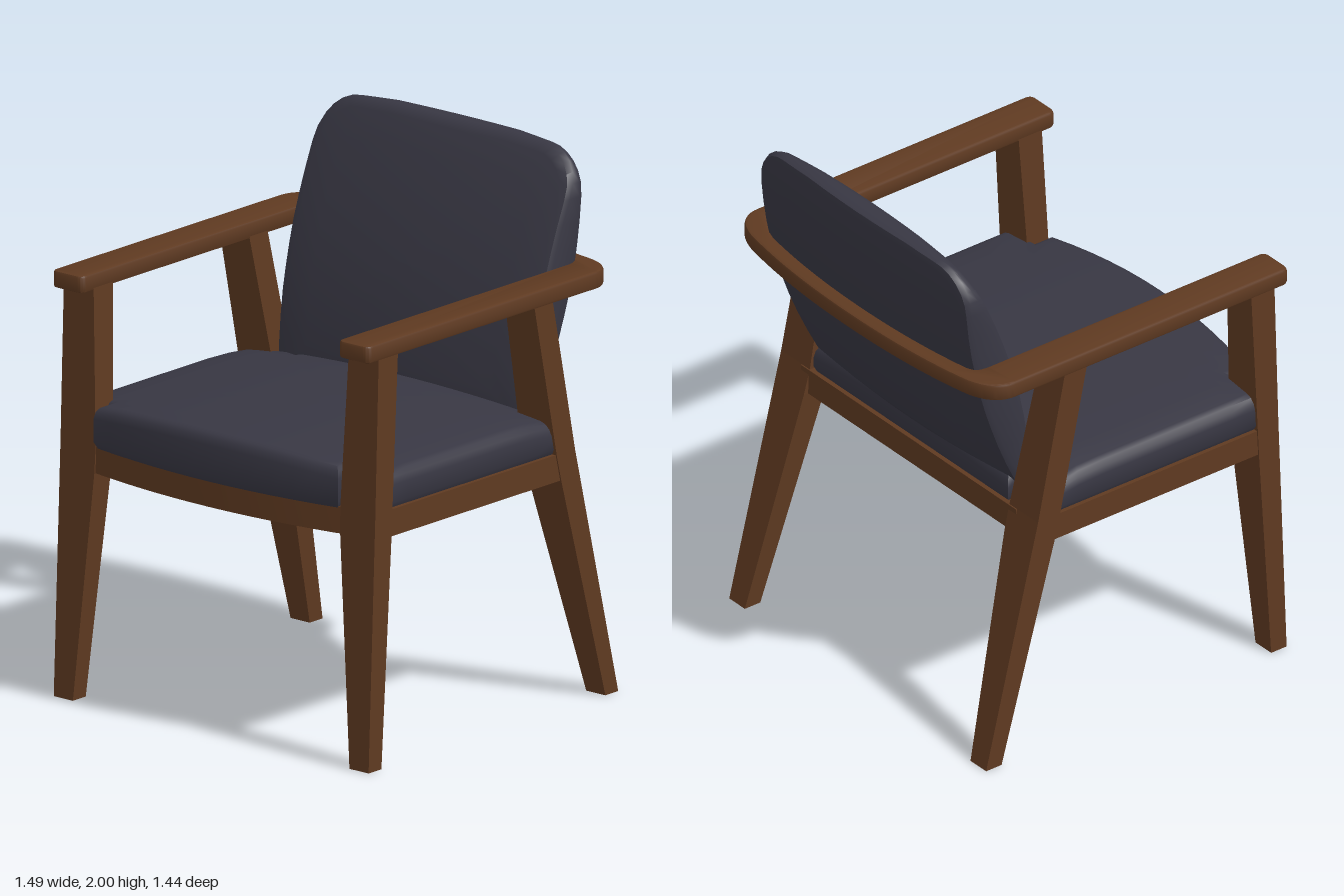
import * as THREE from 'three';
import { toCreasedNormals } from 'three/addons/utils/BufferGeometryUtils.js';

const wood = new THREE.MeshStandardMaterial({ color: 0x5f3a21 });
wood.name = 'walnut wood';
const fabric = new THREE.MeshStandardMaterial({ color: 0x383743 });
fabric.name = 'charcoal fabric';
const lining = new THREE.MeshStandardMaterial({ color: 0x1a1a1a });
lining.name = 'black lining';

// Skin a stack of equal-sized rings and close both ends.
function loft(rings, crease) {
  const n = rings[0].length, pos = rings.flat(2), idx = [];
  for (let i = 0; i < rings.length - 1; i++) {
    for (let j = 0; j < n; j++) {
      const a = i * n + j, b = i * n + (j + 1) % n;
      idx.push(a, b, b + n, a, b + n, a + n);
    }
  }
  const last = (rings.length - 1) * n;
  for (let j = 1; j < n - 1; j++) idx.push(0, j + 1, j, last, last + j, last + j + 1);
  const g = new THREE.BufferGeometry();
  g.setAttribute('position', new THREE.Float32BufferAttribute(pos, 3));
  g.setIndex(idx);
  return toCreasedNormals(g, crease);
}

// Subdivide a half outline that starts and ends on x = 0, then mirror it.
function fullOutline(half) {
  const pts = [];
  half.forEach(([x, y], i) => {
    if (!i) return pts.push([x, y]);
    const [px, py] = half[i - 1];
    const n = Math.max(1, Math.ceil(Math.hypot(x - px, y - py) / 0.12));
    for (let k = 1; k <= n; k++) pts.push([px + (x - px) * k / n, py + (y - py) * k / n]);
  });
  return pts.concat(pts.slice(1, -1).reverse().map(([x, y]) => [-x, y]));
}

// Extrude a plan drawn as (x, -z) upward from y0 to y1.
function planExtrude(shape, y0, y1, bevel = 0) {
  const g = new THREE.ExtrudeGeometry(shape, {
    depth: y1 - y0 - 2 * bevel, curveSegments: 14, bevelEnabled: bevel > 0,
    bevelThickness: bevel, bevelSize: bevel, bevelOffset: -bevel, bevelSegments: 2,
  });
  g.rotateX(-Math.PI / 2).translate(0, y0 + bevel, 0);
  return toCreasedNormals(g, 0.6);
}

// Tapered leg from rows of [y, inner x, outer x, back z, front z].
function legGeometry(rows, side) {
  return loft(rows.map(([y, xi, xo, z0, z1]) => {
    const [a, b] = side > 0 ? [xi, xo] : [-xo, -xi];
    return [[a, y, z1], [b, y, z1], [b, y, z0], [a, y, z0]];
  }), 0.03);
}

// Seat cushion: notched around the legs, crowned across its width.
function seatGeometry() {
  const half = [];
  for (let k = 0; k <= 6; k++) half.push([0.575 * k / 6, 0.72 - 0.055 * (k / 6) ** 2]);
  half.push([0.575, 0.585], [0.73, 0.585], [0.73, -0.36], [0.56, -0.36], [0.56, -0.43], [0, -0.43]);
  const outline = fullOutline(half);
  const top = (x, z) => 1.13 - 0.033 * (x / 0.6) ** 2 - 0.35 * Math.max(0, -0.12 - z) ** 2
    - 1.5 * Math.max(0, -0.32 - z) ** 2;
  const ring = (s, y) => outline.map(([px, pz]) => {
    const x = px * s, z = 0.1 + (pz - 0.1) * s;
    return [x, y(x, z), z];
  });
  const under = d => (x, z) => top(x, z) - d;
  return loft([
    ring(0.98, () => 0.945), ring(1, () => 0.97), ring(1, under(0.045)),
    ring(0.99, under(0.02)), ring(0.97, under(0.005)), ring(0.94, under(0)),
    ...[0.8, 0.6, 0.4, 0.2, 0.02].map(s => ring(s, under(0))),
  ], 0.7);
}

// Back cushion: a curved, reclined pad, thicker in the middle.
function backGeometry() {
  const half = [[0, 1.02], [0.575, 1.02], [0.592, 1.3], [0.6, 1.55], [0.6, 1.82]];
  for (let k = 1; k <= 6; k++) {
    const a = k / 6 * Math.PI / 2;
    half.push([0.44 + 0.16 * Math.cos(a), 1.83 + 0.16 * Math.sin(a)]);
  }
  half.push([0.28, 2], [0, 2]);
  const outline = fullOutline(half);
  const crown = x => 0.035 * (x / 0.6) ** 2;
  const front = (x, y) => -0.295 - 0.075 * (y - 1) - 0.23 * (y - 1) ** 2 - crown(x);
  const rear = (x, y) => -0.42 - 0.555 * (y - 1) + 0.29 * (y - 1) ** 2 + crown(x);
  const ring = (s, surface, d) => outline.map(([px, py]) => {
    const x = px * s, y = 1.5 + (py - 1.5) * s;
    return [x, y, surface(x, y) + d];
  });
  const inner = [0.02, 0.25, 0.5, 0.75, 0.94];
  return loft([
    ...inner.map(s => ring(s, rear, 0)), ring(0.985, rear, 0.004), ring(1, rear, 0.022),
    ring(1, front, -0.022), ring(0.985, front, -0.004),
    ...inner.reverse().map(s => ring(s, front, 0)),
  ], 0.7);
}

// Armrests and back rail as one continuous bent band.
function armBandShape() {
  const s = new THREE.Shape();
  s.moveTo(0, 0.72);
  s.quadraticCurveTo(0.36, 0.72, 0.62, 0.668);
  s.quadraticCurveTo(0.745, 0.635, 0.745, 0.54);
  s.lineTo(0.745, -0.67);
  s.quadraticCurveTo(0.745, -0.7, 0.715, -0.7);
  s.lineTo(0.63, -0.7);
  s.quadraticCurveTo(0.6, -0.7, 0.6, -0.67);
  s.lineTo(0.6, 0.55);
  s.quadraticCurveTo(0.6, 0.605, 0.55, 0.615);
  s.quadraticCurveTo(0.3, 0.658, 0, 0.658);
  s.quadraticCurveTo(-0.3, 0.658, -0.55, 0.615);
  s.quadraticCurveTo(-0.6, 0.605, -0.6, 0.55);
  s.lineTo(-0.6, -0.67);
  s.quadraticCurveTo(-0.6, -0.7, -0.63, -0.7);
  s.lineTo(-0.715, -0.7);
  s.quadraticCurveTo(-0.745, -0.7, -0.745, -0.67);
  s.lineTo(-0.745, 0.54);
  s.quadraticCurveTo(-0.745, 0.635, -0.62, 0.668);
  s.quadraticCurveTo(-0.36, 0.72, 0, 0.72);
  return s;
}

export function createModel() {
  const chair = new THREE.Group();
  chair.name = 'armchair';
  const add = (name, geometry, material) => {
    const mesh = new THREE.Mesh(geometry, material);
    mesh.name = name;
    chair.add(mesh);
    return mesh;
  };

  const frontRows = [
    [0, 0.65, 0.74, 0.62, 0.69], [0.85, 0.578, 0.74, 0.565, 0.657],
    [0.95, 0.575, 0.74, 0.56, 0.653], [1.53, 0.6, 0.74, 0.53, 0.635],
  ];
  const rearRows = [
    [0, 0.65, 0.74, -0.67, -0.6], [0.85, 0.578, 0.74, -0.46, -0.36],
    [0.95, 0.575, 0.74, -0.435, -0.335], [1.53, 0.6, 0.74, -0.313, -0.213],
  ];
  for (const [label, side] of [['left', 1], ['right', -1]]) {
    add(label + 'FrontLeg', legGeometry(frontRows, side), wood);
    add(label + 'RearLeg', legGeometry(rearRows, side), wood);
    add(label + 'SideRail', new THREE.BoxGeometry(0.06, 0.1, 1), wood).position.set(side * 0.705, 0.9, 0.1);
  }

  // Bowed front rail and straight rear rail
  const frontRail = new THREE.Shape();
  frontRail.moveTo(-0.62, -0.642);
  frontRail.quadraticCurveTo(0, -0.768, 0.62, -0.642);
  frontRail.lineTo(0.62, -0.582);
  frontRail.quadraticCurveTo(0, -0.708, -0.62, -0.582);
  add('frontRail', planExtrude(frontRail, 0.85, 0.95), wood);
  add('rearRail', new THREE.BoxGeometry(1.24, 0.1, 0.06), wood).position.set(0, 0.9, -0.41);

  // Dark lining under the seat
  const panel = new THREE.Shape();
  panel.moveTo(-0.69, 0.4);
  panel.lineTo(-0.69, -0.58);
  panel.quadraticCurveTo(0, -0.74, 0.69, -0.58);
  panel.lineTo(0.69, 0.4);
  add('seatLining', planExtrude(panel, 0.87, 0.94), lining);

  add('seatCushion', seatGeometry(), fabric);
  add('backCushion', backGeometry(), fabric);
  add('armrestBand', planExtrude(armBandShape(), 1.52, 1.585, 0.01), wood);
  return chair;
}
